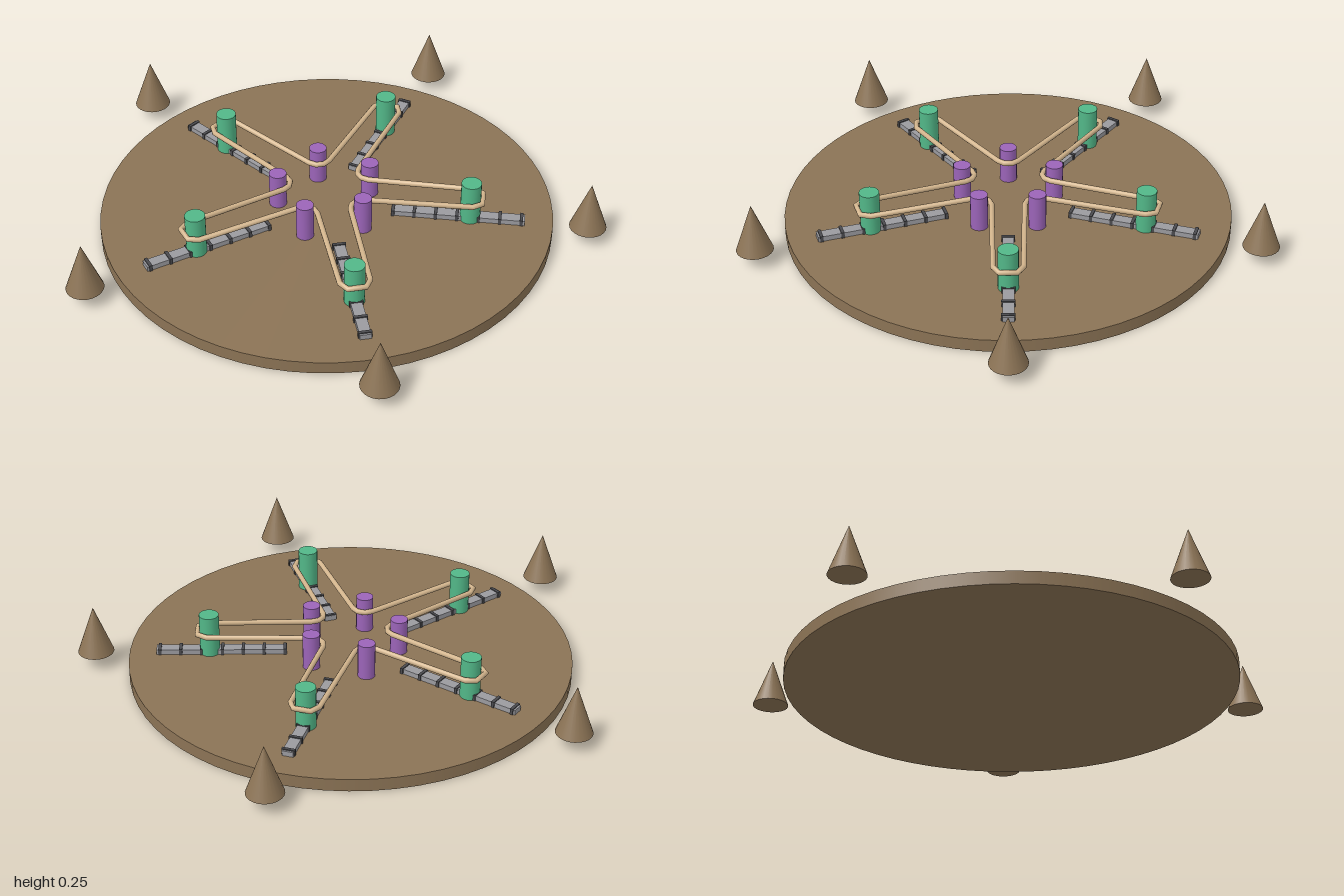
import * as THREE from 'three';

const CENTER_Z = 0.09;
const ARMS = 5;
const RAD = Math.PI / 180;

const material = (name, color) => {
  const m = new THREE.MeshStandardMaterial({ color });
  m.name = name;
  return m;
};

function add(parent, name, geometry, mat, x, y, z) {
  const mesh = new THREE.Mesh(geometry, mat);
  mesh.name = name;
  mesh.position.set(x, y, z);
  parent.add(mesh);
  return mesh;
}

// Closed polyline sampled exactly at its corners
class LoopCurve extends THREE.Curve {
  constructor(points) {
    super();
    this.points = points;
  }
  at(i) {
    const n = this.points.length;
    return this.points[((i % n) + n) % n];
  }
  getPointAt(u, target = new THREE.Vector3()) {
    return target.copy(this.at(Math.round(u * this.points.length)));
  }
  getTangentAt(u, target = new THREE.Vector3()) {
    const i = Math.round(u * this.points.length);
    const before = this.at(i).clone().sub(this.at(i - 1)).normalize();
    const after = this.at(i + 1).clone().sub(this.at(i)).normalize();
    return target.copy(before.add(after).normalize());
  }
}

// Compass direction in the ground plane, 0 degrees pointing to the back
const dir = (deg) => new THREE.Vector3(Math.sin(deg * RAD), 0, -Math.cos(deg * RAD));

export function createModel() {
  const model = new THREE.Group();
  model.name = 'starBeltTable';
  const star = new THREE.Group();
  star.name = 'starLayout';
  star.position.z = CENTER_Z;
  model.add(star);

  const earth = material('earthBrown', 0x8b7355);
  const green = material('postGreen', 0x52b788);
  const purple = material('pinPurple', 0x9b64b8);
  const rope = material('ropeTan', 0xd2b48c);
  const steel = material('railGrey', 0x9a9a9f);
  const dark = material('bandDark', 0x4a4a4e);

  // Round base plate
  add(star, 'base', new THREE.CylinderGeometry(0.85, 0.85, 0.049, 64), earth, 0, 0.0245, 0);

  const coneGeo = new THREE.ConeGeometry(0.069, 0.19, 24);
  const postGeo = new THREE.CylinderGeometry(0.038, 0.038, 0.165, 20);
  const pinGeo = new THREE.CylinderGeometry(0.033, 0.033, 0.141, 20);
  const railGeo = new THREE.BoxGeometry(0.042, 0.02, 0.5);
  const bandGeo = new THREE.BoxGeometry(0.05, 0.025, 0.012);

  const ropePoints = [];
  for (let k = 0; k < ARMS; k++) {
    const a = (k * 360) / ARMS;
    const b = a + 180 / ARMS;

    // One arm: rail with bands, tall post and outer cone
    const arm = new THREE.Group();
    arm.name = 'arm';
    arm.rotation.y = -a * RAD;
    star.add(arm);
    add(arm, 'rail', railGeo, steel, 0, 0.059, -0.495);
    for (let i = 0; i < 7; i++) {
      add(arm, 'railBand', bandGeo, dark, 0, 0.0605, -(0.252 + i * 0.08));
    }
    add(arm, 'post', postGeo, green, 0, 0.131, -0.54);
    add(arm, 'cone', coneGeo, earth, 0, 0.151, -0.978);

    // Inner pin between two arms
    const pin = dir(b).multiplyScalar(0.185);
    add(star, 'innerPin', pinGeo, purple, pin.x, 0.119, pin.z);

    // Rope wraps outside the post, then inside the pin
    const post = dir(a).multiplyScalar(0.54);
    for (const d of [-80, -36, 36, 80]) {
      ropePoints.push(dir(a + d).multiplyScalar(0.055).add(post));
    }
    for (const d of [54, 18, -18, -54]) {
      ropePoints.push(dir(b + 180 + d).multiplyScalar(0.047).add(pin));
    }
  }

  // Star-shaped rope loop
  const ropeGeo = new THREE.TubeGeometry(new LoopCurve(ropePoints), ropePoints.length, 0.0105, 10, true);
  add(star, 'ropeLoop', ropeGeo, rope, 0, 0.144, 0);

  return model;
}
